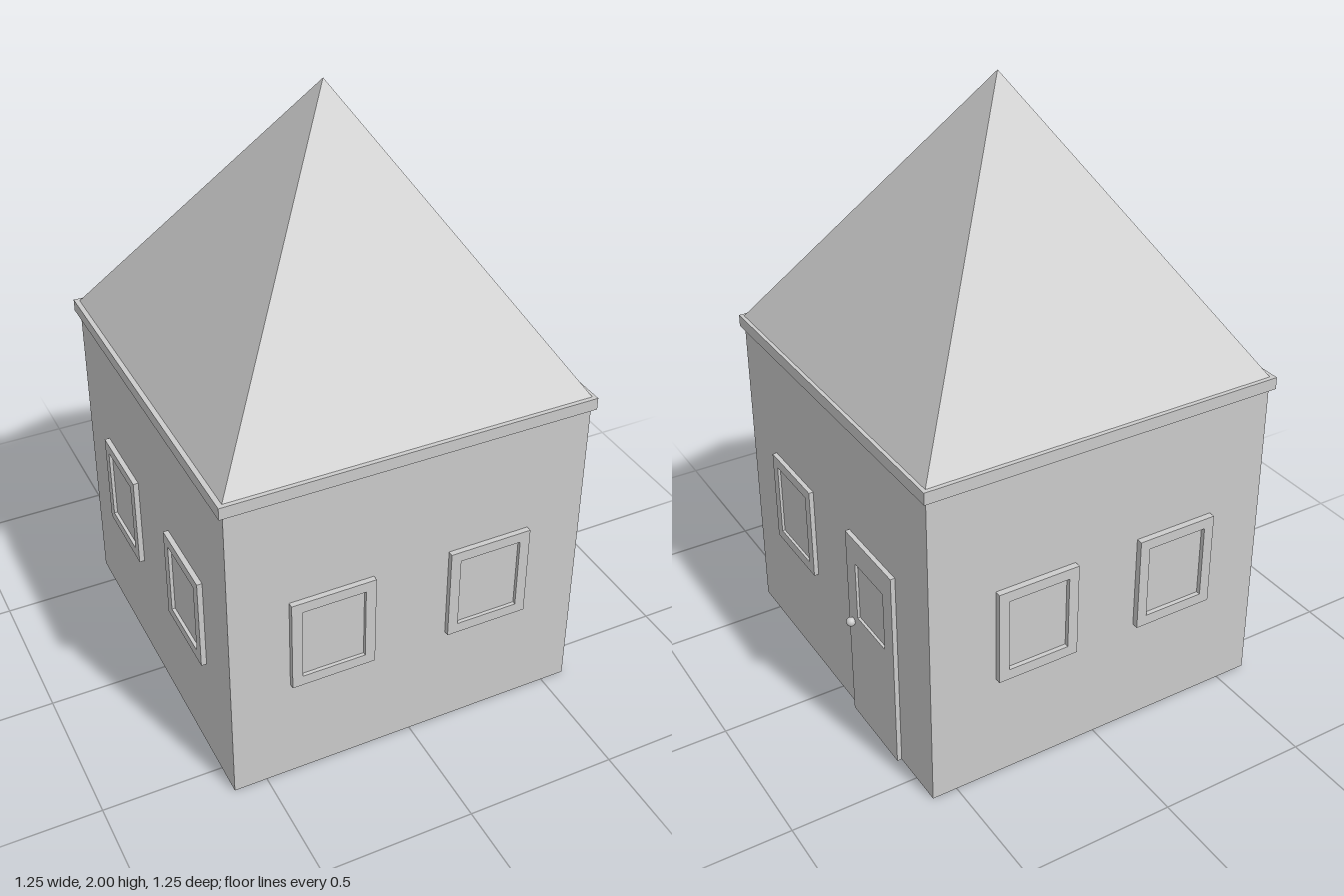
import * as THREE from 'three';

const CX = -0.013, HX = 0.595, HZ = 0.603; // wall centre and half widths
const mat = new THREE.MeshStandardMaterial({ color: 0xcccccc, flatShading: true });
const smooth = new THREE.MeshStandardMaterial({ color: 0xcccccc });

function add(parent, name, geometry, x = 0, y = 0, z = 0, material = mat) {
  const mesh = new THREE.Mesh(geometry, material);
  mesh.name = name;
  mesh.position.set(x, y, z);
  parent.add(mesh);
  return mesh;
}

// Flat panel facing +z, pierced by one rectangular opening
function panel(w, h, depth, hole) {
  const shape = new THREE.Shape();
  shape.moveTo(-w / 2, 0).lineTo(w / 2, 0).lineTo(w / 2, h).lineTo(-w / 2, h).closePath();
  const { x0, x1, y0, y1 } = hole;
  const opening = new THREE.Path();
  opening.moveTo(x0, y0).lineTo(x0, y1).lineTo(x1, y1).lineTo(x1, y0).closePath();
  shape.holes.push(opening);
  return new THREE.ExtrudeGeometry(shape, { depth, bevelEnabled: false });
}

// Raised window frame with a recessed pane
function windowUnit(name, depth) {
  const g = new THREE.Group();
  g.name = name;
  add(g, 'windowFrame', panel(0.276, 0.32, depth, { x0: -0.104, x1: 0.104, y0: 0.035, y1: 0.285 }));
  add(g, 'windowPane', new THREE.BoxGeometry(0.208, 0.25, 0.006), 0, 0.16, 0.003);
  return g;
}

export function createModel() {
  const house = new THREE.Group();
  house.name = 'house';

  // Walls and eaves
  add(house, 'walls', new THREE.BoxGeometry(HX * 2, 1.08, HZ * 2), CX, 0.54, 0);
  add(house, 'eaves', new THREE.BoxGeometry(1.218, 0.04, 1.234), CX - 0.002, 1.09, 0);

  // Four-sided pyramid roof
  const roof = new THREE.ConeGeometry(Math.SQRT2, 0.89, 4).rotateY(Math.PI / 4);
  roof.scale(HX, 1, HZ);
  add(house, 'roof', roof, CX, 1.555, 0);

  // Windows: [name, x, z, turn about y, depth]
  const windows = [
    ['frontWindowRight', -0.277, HZ, 0, 0.018],
    ['frontWindowLeft', 0.253, HZ, 0, 0.018],
    ['backWindowRight', -0.277, -HZ, Math.PI, 0.021],
    ['backWindowLeft', 0.223, -HZ, Math.PI, 0.021],
    ['rightWindowFront', CX - HX, 0.275, -Math.PI / 2, 0.017],
    ['rightWindowBack', CX - HX, -0.267, -Math.PI / 2, 0.017],
    ['leftWindow', CX + HX, 0.28, Math.PI / 2, 0.015],
  ];
  for (const [name, x, z, turn, depth] of windows) {
    const w = windowUnit(name, depth);
    w.position.set(x, 0.365, z);
    w.rotation.y = turn;
    house.add(w);
  }

  // Door with its own small window and a round knob
  const door = new THREE.Group();
  door.name = 'door';
  door.position.set(CX + HX, 0, -0.258);
  door.rotation.y = Math.PI / 2;
  add(door, 'doorPanel', panel(0.292, 0.693, 0.015, { x0: -0.088, x1: 0.09, y0: 0.4, y1: 0.605 }));
  add(door, 'doorPane', new THREE.BoxGeometry(0.178, 0.205, 0.006), 0.001, 0.5025, 0.003);
  const stem = new THREE.CylinderGeometry(0.006, 0.006, 0.012, 12).rotateX(Math.PI / 2);
  add(door, 'knobStem', stem, -0.118, 0.37, 0.017, smooth);
  add(door, 'doorKnob', new THREE.SphereGeometry(0.015, 20, 14), -0.118, 0.37, 0.025, smooth);
  house.add(door);

  return house;
}
